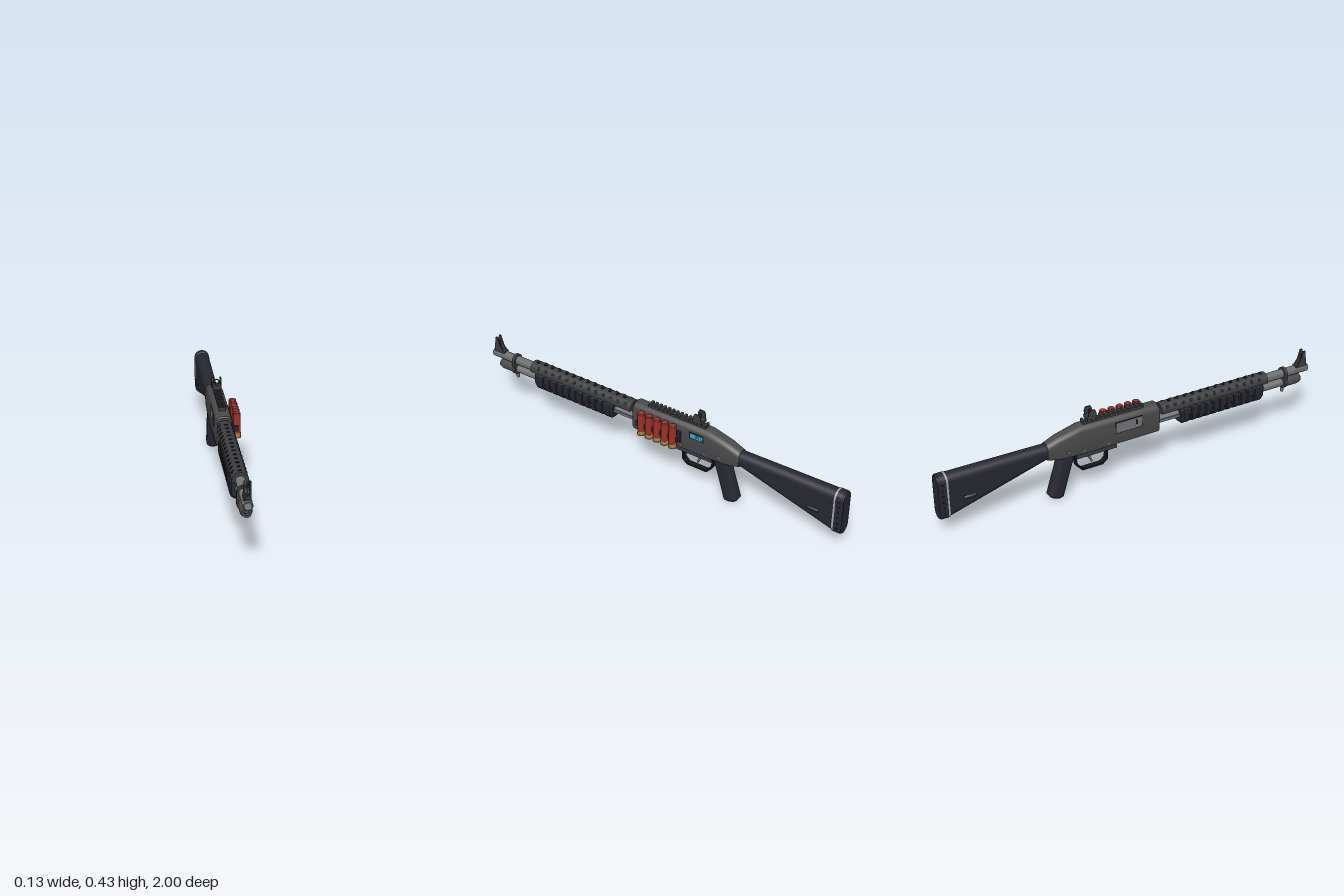
import * as THREE from 'three';
import { toCreasedNormals } from 'three/addons/utils/BufferGeometryUtils.js';

const mat = (name, color) => Object.assign(new THREE.MeshStandardMaterial({ color }), { name });
const M = {
  gunmetal: mat('gunmetal', 0x4b4b4d),
  steel: mat('steel', 0x727376),
  darkMetal: mat('dark metal', 0x3c3d40),
  polymer: mat('navy polymer', 0x262731),
  black: mat('black', 0x17181b),
  red: mat('shell red', 0x9e3028),
  brass: mat('brass', 0xa5874a),
  cyan: mat('cyan', 0x38b4cc),
  silver: mat('silver', 0xa4a6a9),
};
M.darkMetal.side = THREE.DoubleSide;

const BARREL_Y = 0.325, TUBE_Y = 0.275;

export function createModel() {
  const root = new THREE.Group();
  root.name = 'shotgun';
  const gun = new THREE.Group();
  gun.name = 'gun';
  gun.position.x = -0.0225;
  root.add(gun);

  const add = (name, geo, m, x = 0, y = 0, z = 0) => {
    const mesh = new THREE.Mesh(geo, m);
    mesh.name = name;
    mesh.position.set(x, y, z);
    gun.add(mesh);
    return mesh;
  };
  const box = (name, m, w, h, d, x, y, z) => add(name, new THREE.BoxGeometry(w, h, d), m, x, y, z);

  // Round bar between two points in the z, y plane
  const bar = (name, m, r, z0, y0, z1, y1, seg = 28) => {
    const geo = new THREE.CylinderGeometry(r, r, Math.hypot(z1 - z0, y1 - y0), seg);
    geo.rotateX(Math.atan2(z1 - z0, y1 - y0));
    return add(name, geo, m, 0, (y0 + y1) / 2, (z0 + z1) / 2);
  };

  // Turned part along z; profile is [radius, z]
  const turned = (name, m, y, pts) => {
    const geo = new THREE.LatheGeometry(pts.map(p => new THREE.Vector2(...p)), 32);
    return add(name, toCreasedNormals(geo.rotateX(Math.PI / 2), 0.6), m, 0, y, 0);
  };

  // Side outline of [z, y] points extruded across x
  const sideShape = (pts, width, hole) => {
    const shape = new THREE.Shape(pts.map(p => new THREE.Vector2(...p)));
    if (hole) shape.holes.push(hole);
    const geo = new THREE.ExtrudeGeometry(shape, { depth: width, bevelEnabled: false });
    return geo.translate(0, 0, -width / 2).rotateY(-Math.PI / 2);
  };

  // Rounded-rectangle sections [z, width, bottom, top, top radius, bottom radius], z rising
  const loft = (sections, n = 6) => {
    const pos = [], idx = [], count = 4 * (n + 1);
    for (const [z, w, y0, y1, rt, rb] of sections) {
      [[1, 0], [1, 1], [-1, 1], [-1, 0]].forEach(([sx, top], c) => {
        const r = top ? rt : rb;
        for (let i = 0; i <= n; i++) {
          const a = (c - 1 + i / n) * Math.PI / 2;
          pos.push(sx * (w / 2 - r) + r * Math.cos(a), (top ? y1 - r : y0 + r) + r * Math.sin(a), z);
        }
      });
    }
    const last = (sections.length - 1) * count;
    for (let s = 0; s < last; s += count) {
      for (let j = 0; j < count; j++) {
        const k = (j + 1) % count;
        idx.push(s + j, s + k, s + count + k, s + j, s + count + k, s + count + j);
      }
    }
    for (let j = 1; j < count - 1; j++) idx.push(0, j + 1, j, last, last + j, last + j + 1);
    const geo = new THREE.BufferGeometry();
    geo.setAttribute('position', new THREE.Float32BufferAttribute(pos, 3));
    geo.setIndex(idx);
    return toCreasedNormals(geo, 0.5);
  };

  // Barrel with open bore, magazine tube and its cap
  turned('barrel', M.steel, BARREL_Y, [[0, 0.1], [0.022, 0.1], [0.022, 0.996], [0.02, 1], [0.017, 1], [0.016, 0.94], [0, 0.94]]);
  turned('magazineTube', M.steel, TUBE_Y, [[0, 0.1], [0.02, 0.1], [0.02, 0.89], [0, 0.89]]);
  turned('magazineCap', M.gunmetal, TUBE_Y, [[0, 0.872], [0.027, 0.872], [0.027, 0.935], [0.021, 0.957], [0.011, 0.957], [0.009, 0.945], [0, 0.945]]);
  for (const s of [-1, 1]) box('actionBar', M.steel, 0.005, 0.014, 0.2, s * 0.024, TUBE_Y, 0.2);

  // Clamp joining barrel and tube, with a sling stud
  const clamp = new THREE.Shape();
  clamp.absarc(0, BARREL_Y, 0.031, 0, Math.PI);
  clamp.absarc(0, TUBE_Y, 0.031, Math.PI, Math.PI * 2);
  add('barrelClamp', new THREE.ExtrudeGeometry(clamp, { depth: 0.016, bevelEnabled: false }), M.darkMetal, 0, 0, 0.852);
  bar('slingStud', M.steel, 0.008, 0.86, 0.222, 0.86, 0.25, 16);

  // Vented heat shield: half tube with vent rows
  const shieldR = 0.037;
  const shield = new THREE.CylinderGeometry(shieldR, shieldR, 0.605, 28, 1, true, Math.PI / 2 - 0.25, Math.PI + 0.5);
  shield.rotateX(Math.PI / 2);
  add('heatShield', shield, M.darkMetal, 0, BARREL_Y, 0.4425);
  const shieldEnd = new THREE.RingGeometry(0.022, shieldR, 28, 1, -0.25, Math.PI + 0.5);
  for (const z of [0.14, 0.745]) add('shieldEnd', shieldEnd, M.darkMetal, 0, BARREL_Y, z);
  for (const a of [-0.95, 0, 0.95]) {
    for (let i = 0; i < 13; i++) {
      const vent = add('vent', new THREE.CylinderGeometry(0.009, 0.009, 0.003, 12), M.black,
        Math.sin(a) * shieldR, BARREL_Y + Math.cos(a) * shieldR, 0.175 + i * 0.0435 + (a ? 0 : 0.0217));
      vent.rotation.z = -a;
    }
  }

  // Sliding fore-end with cross grooves
  const grip = [[0.246, 0.07, 0.235, 0.31, 0.012, 0.028], [0.258, 0.086, 0.225, 0.32, 0.012, 0.034]];
  for (let i = 0; i < 10; i++) {
    const z = 0.29 + i * 0.04;
    for (const [dz, w] of [[0, 0.086], [0.004, 0.077], [0.013, 0.077], [0.017, 0.086]]) grip.push([z + dz, w, 0.225, 0.32, 0.012, 0.034]);
  }
  grip.push([0.705, 0.086, 0.225, 0.32, 0.012, 0.034], [0.72, 0.072, 0.237, 0.312, 0.012, 0.028]);
  add('foreEnd', loft(grip), M.polymer);

  // Receiver
  add('receiver', loft([
    [-0.46, 0.066, 0.24, 0.322, 0.028, 0.02],
    [-0.4, 0.074, 0.232, 0.345, 0.028, 0.012],
    [-0.29, 0.078, 0.228, 0.374, 0.028, 0.008],
    [0.12, 0.078, 0.23, 0.372, 0.028, 0.008],
    [0.128, 0.07, 0.235, 0.366, 0.026, 0.008],
  ]), M.gunmetal);
  box('loadingPort', M.black, 0.046, 0.004, 0.17, 0, 0.229, 0.01);
  box('triggerPlate', M.darkMetal, 0.05, 0.03, 0.21, 0, 0.217, -0.205);
  for (const s of [-1, 1]) {
    for (const [z, y] of [[-0.28, 0.25], [-0.15, 0.247], [-0.36, 0.262]]) {
      const pin = add('pin', new THREE.CylinderGeometry(0.006, 0.006, 0.005, 12), M.steel, s * 0.038, y, z);
      pin.rotation.z = Math.PI / 2;
    }
  }

  // Ejection port on the right side
  box('portFrame', M.black, 0.003, 0.06, 0.145, -0.0385, 0.318, -0.04);
  box('bolt', M.steel, 0.005, 0.052, 0.137, -0.0385, 0.318, -0.04);
  box('boltNotch', M.black, 0.007, 0.024, 0.012, -0.0385, 0.322, 0.0);

  // Round counter display on the left side
  box('displayFrame', M.black, 0.004, 0.034, 0.08, 0.0385, 0.327, -0.235);
  box('display', M.cyan, 0.006, 0.024, 0.068, 0.0385, 0.327, -0.235);
  for (let i = 0; i < 4; i++) box('displayBar', M.black, 0.007, 0.015, 0.003, 0.0385, 0.327, -0.23 - i * 0.01);

  // Top rail
  box('railBase', M.darkMetal, 0.03, 0.016, 0.32, 0, 0.375, -0.11);
  for (let i = 0; i < 14; i++) box('railTooth', M.darkMetal, 0.037, 0.009, 0.012, 0, 0.386, 0.043 - i * 0.0235);

  // Rear aperture sight
  box('rearSightBase', M.darkMetal, 0.04, 0.017, 0.05, 0, 0.398, -0.225);
  for (const s of [-1, 1]) {
    add('rearSightWing', sideShape([[-0.245, 0.395], [-0.205, 0.395], [-0.205, 0.425], [-0.212, 0.441], [-0.238, 0.441], [-0.245, 0.425]], 0.006), M.darkMetal, s * 0.021);
  }
  add('rearSightRing', new THREE.TorusGeometry(0.0125, 0.003, 8, 24), M.darkMetal, 0, 0.42, -0.225);

  // Front sight: two ears and a post
  for (const s of [-1, 1]) {
    add('frontSightEar', sideShape([[0.925, 0.335], [0.99, 0.335], [0.985, 0.375], [0.977, 0.424], [0.966, 0.424], [0.952, 0.375]], 0.006), M.darkMetal, s * 0.0125);
  }
  box('frontSightBase', M.darkMetal, 0.03, 0.014, 0.062, 0, 0.345, 0.958);
  box('frontSightPost', M.darkMetal, 0.005, 0.05, 0.008, 0, 0.375, 0.965);

  // Shell carrier and five spare shells
  box('carrierPlate', M.polymer, 0.01, 0.06, 0.235, 0.042, 0.296, -0.033);
  box('carrierStrap', M.polymer, 0.026, 0.024, 0.24, 0.058, 0.294, -0.033);
  for (let i = 0; i < 5; i++) {
    const z = 0.056 - i * 0.0445;
    const hull = new THREE.LatheGeometry([[0, 0.255], [0.0185, 0.255], [0.0185, 0.362], [0.0155, 0.366], [0.011, 0.363], [0, 0.363]].map(p => new THREE.Vector2(...p)), 24);
    add('shellHull', toCreasedNormals(hull, 0.6), M.red, 0.0665, 0, z);
    add('shellHead', new THREE.CylinderGeometry(0.019, 0.019, 0.022, 24), M.brass, 0.0665, 0.255, z);
    add('shellRim', new THREE.CylinderGeometry(0.021, 0.021, 0.004, 24), M.brass, 0.0665, 0.245, z);
  }

  // Trigger guard and trigger
  add('triggerGuard', sideShape([
    [-0.138, 0.215], [-0.142, 0.147], [-0.168, 0.124], [-0.277, 0.124], [-0.308, 0.157], [-0.318, 0.215],
    [-0.309, 0.215], [-0.3, 0.161], [-0.273, 0.132], [-0.171, 0.132], [-0.15, 0.151], [-0.146, 0.215],
  ], 0.027), M.black);
  add('trigger', sideShape([[-0.215, 0.21], [-0.238, 0.21], [-0.24, 0.18], [-0.225, 0.152], [-0.219, 0.155], [-0.228, 0.182]], 0.012), M.steel);

  // Pistol grip: rounded section swept down and back
  const handle = loft([
    [-0.21, 0.05, -0.03, 0.03, 0.02, 0.02],
    [-0.2, 0.064, -0.041, 0.041, 0.027, 0.027],
    [-0.06, 0.064, -0.04, 0.04, 0.027, 0.027],
    [0.02, 0.06, -0.044, 0.044, 0.027, 0.027],
  ]);
  handle.rotateX(-Math.PI / 2 + 0.29);
  add('pistolGrip', handle, M.polymer, 0, 0.222, -0.36);

  // Stock: slab with a sling slot, rounded along top and bottom
  const slot = new THREE.Path();
  slot.absarc(-0.83, 0.19, 0.009, -Math.PI / 2, Math.PI / 2);
  slot.absarc(-0.876, 0.19, 0.009, Math.PI / 2, Math.PI * 1.5);
  const r = 0.037;
  const taper = geo => {
    const p = geo.attributes.position;
    for (let i = 0; i < p.count; i++) {
      const t = THREE.MathUtils.clamp((-0.45 - p.getZ(i)) / 0.4, 0, 1);
      p.setX(i, p.getX(i) * THREE.MathUtils.lerp(0.88, 1, t));
    }
  };
  taper(add('stock', sideShape([[-0.45, 0.285], [-0.45, 0.281], [-0.958, 0.136], [-0.958, 0.288]], r * 2, slot), M.polymer).geometry);
  for (const [name, y0, y1] of [['stockComb', 0.284, 0.288], ['stockBelly', 0.282, 0.136]]) {
    const edge = bar(name, M.polymer, r, -0.45, y0, -0.958, y1);
    edge.geometry.translate(0, edge.position.y, edge.position.z);
    edge.position.set(0, 0, 0);
    taper(edge.geometry);
  }

  // Silver spacer and butt pad with side holes
  add('stockSpacer', loft([[-0.962, 0.077, 0.095, 0.327, 0.037, 0.037], [-0.953, 0.077, 0.095, 0.327, 0.037, 0.037]], 10), M.silver);
  add('buttPad', loft([
    [-1, 0.068, 0.1, 0.322, 0.033, 0.033],
    [-0.993, 0.077, 0.095, 0.327, 0.037, 0.037],
    [-0.961, 0.077, 0.095, 0.327, 0.037, 0.037],
  ], 10), M.polymer);
  for (const s of [-1, 1]) {
    for (let i = 0; i < 6; i++) {
      const hole = add('padHole', new THREE.CylinderGeometry(0.006, 0.006, 0.002, 12), M.black, s * 0.0384, 0.136 + i * 0.03, -0.979);
      hole.rotation.z = Math.PI / 2;
    }
  }
  return root;
}
